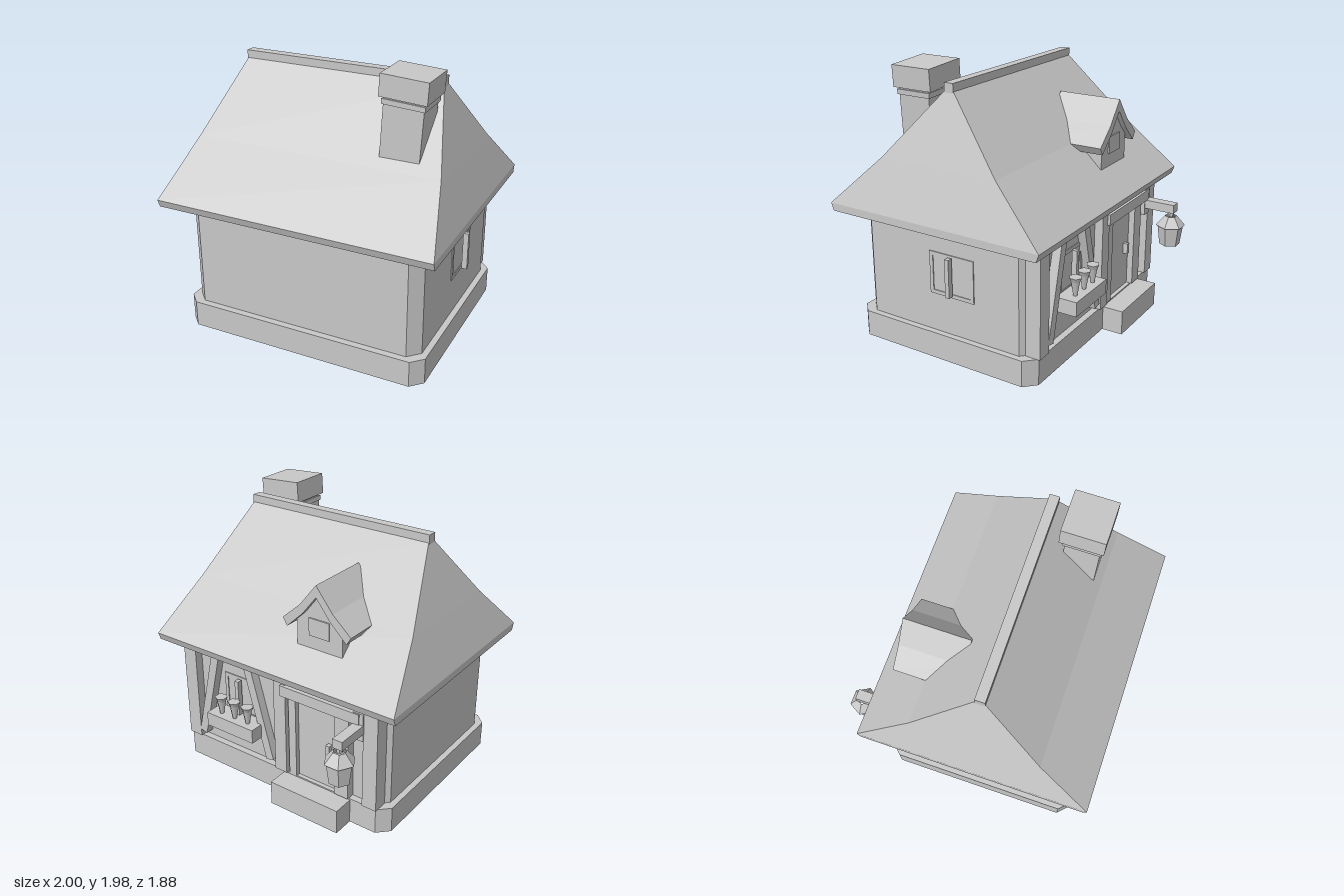
import * as THREE from 'three';

const stone = new THREE.MeshStandardMaterial({ color: 0xc8c8c8, side: THREE.DoubleSide });
stone.name = 'plain grey';
const CZ = 0.105; // depth centre of house and roof

// block without an underside
function openBlock(w, h, d) {
  const g = new THREE.BoxGeometry(w, h, d);
  const index = Array.from(g.index.array);
  index.splice(18, 6);
  g.setIndex(index);
  g.clearGroups();
  return g;
}

// horizontal outlines, anticlockwise from above
const rect = (y, x, z) => [[-x, y, z], [x, y, z], [x, y, -z], [-x, y, -z]];
const chamfered = (y, x, z, c = 0.08) => [
  [c - x, y, z], [x - c, y, z], [x, y, z - c], [x, y, c - z],
  [x - c, y, -z], [c - x, y, -z], [-x, y, c - z], [-x, y, z - c],
];

// outlines joined into flat faces, optionally closed at bottom and top
function loft(rings, closed) {
  const pos = [];
  const n = rings[0].length;
  for (let i = 0; i < rings.length - 1; i++)
    for (let k = 0; k < n; k++) {
      const m = (k + 1) % n, a = rings[i], b = rings[i + 1];
      pos.push(...a[k], ...a[m], ...b[m], ...a[k], ...b[m], ...b[k]);
    }
  if (closed)
    for (const cap of [rings[0].slice().reverse(), rings[rings.length - 1]])
      for (let k = 1; k < n - 1; k++) pos.push(...cap[0], ...cap[k], ...cap[k + 1]);
  const g = new THREE.BufferGeometry();
  g.setAttribute('position', new THREE.Float32BufferAttribute(pos, 3));
  g.translate(0, 0, CZ);
  g.computeVertexNormals();
  return g;
}

export function createModel() {
  const house = new THREE.Group();
  house.name = 'cottage';

  const add = (name, geo, parent = house) => {
    const m = new THREE.Mesh(geo, stone);
    m.name = name;
    parent.add(m);
    return m;
  };
  // block given by its limits on each axis
  const box = (name, x0, x1, y0, y1, z0, z1, parent = house) =>
    add(name, openBlock(x1 - x0, y1 - y0, z1 - z0), parent)
      .position.set((x0 + x1) / 2, (y0 + y1) / 2, (z0 + z1) / 2);
  // beam between two points of the back wall
  const beam = (name, xa, ya, xb, yb, w, z0, z1) => {
    const dx = xb - xa, dy = yb - ya;
    const m = add(name, openBlock(w, Math.hypot(dx, dy), z1 - z0));
    m.position.set((xa + xb) / 2, (ya + yb) / 2, (z0 + z1) / 2);
    m.rotation.z = -Math.atan2(dx, dy);
  };

  // body: hollow foundation ring, walls with a raised floor, roof
  add('foundation', loft([chamfered(0, 0.905, 0.73), chamfered(0.19, 0.905, 0.73), chamfered(0.19, 0.86, 0.68)], false));
  add('walls', loft([chamfered(0.17, 0.862, 0.682), chamfered(0.97, 0.862, 0.682)], true));
  add('roof', loft([rect(0.95, 1, 0.812), rect(1.005, 1, 0.832), rect(1.365, 0.885, 0.45), rect(1.83, 0.73, 0.035)], true));
  box('roofRidge', -0.735, 0.735, 1.82, 1.885, 0.07, 0.14);

  // chimney, leaning slightly
  const chimney = new THREE.Group();
  chimney.name = 'chimney';
  chimney.position.set(0.58, 1.4, 0.38);
  chimney.rotation.z = -0.06;
  house.add(chimney);
  box('chimneyStack', -0.137, 0.137, -0.15, 0.43, -0.118, 0.122, chimney);
  box('chimneyCollar', -0.147, 0.147, 0.375, 0.41, -0.13, 0.132, chimney);
  box('chimneyCap', -0.162, 0.162, 0.425, 0.574, -0.155, 0.148, chimney);

  // dormer on the back slope: gabled wall, curved roof, window plate
  const profile = (points, z0, z1) => {
    const s = new THREE.Shape(points.map(p => new THREE.Vector2(...p)));
    const g = new THREE.ExtrudeGeometry(s, { depth: z1 - z0, bevelEnabled: false });
    g.translate(-0.31, 0, z0);
    return g;
  };
  add('dormerWall', profile([[-0.18, 1.15], [0.18, 1.15], [0.18, 1.39], [0, 1.6], [-0.18, 1.39]], -0.54, -0.15));
  add('dormerRoof', profile([
    [0.235, 1.31], [0.27, 1.365], [0.13, 1.49], [0, 1.655],
    [-0.13, 1.49], [-0.27, 1.365], [-0.235, 1.31], [-0.11, 1.43], [0, 1.57], [0.11, 1.43],
  ], -0.577, -0.105));
  box('dormerWindow', -0.39, -0.23, 1.275, 1.4, -0.549, -0.53);

  // window frame with a pane and a centre bar, facing outward on local +z
  const windowUnit = (name, w, h) => {
    const g = new THREE.Group();
    g.name = name;
    const a = w / 2, b = h / 2, t = 0.027;
    for (const s of [-1, 1]) {
      const x = s * (a - t / 2), y = s * (b - t / 2);
      box('frameSide', x - t / 2, x + t / 2, -b, b, -0.01, 0.007, g);
      box('frameRail', t - a, a - t, y - t / 2, y + t / 2, -0.01, 0.007, g);
    }
    box('pane', t - a, a - t, t - b, b - t, -0.01, 0.001, g);
    box('centreBar', -0.016, 0.016, 0.02 - b, b - 0.01, 0.02, 0.058, g);
    house.add(g);
    return g;
  };
  const side = windowUnit('sideWindow', 0.355, 0.305);
  side.position.set(0.862, 0.62, 0.025);
  side.rotation.y = Math.PI / 2;
  const back = windowUnit('backWindow', 0.3, 0.3);
  back.position.set(0.35, 0.635, -0.577);
  back.rotation.y = Math.PI;

  // timber framing on the back
  for (const s of [-1, 1]) box('cornerPost', s * 0.78 - 0.055, s * 0.78 + 0.055, 0.19, 0.95, -0.64, -0.53);
  box('middlePost', -0.09, 0.01, 0.19, 0.95, -0.64, -0.55);
  beam('brace', 0.7, 0.24, 0.53, 0.95, 0.065, -0.64, -0.57);
  beam('brace', 0.06, 0.24, 0.25, 0.95, 0.065, -0.64, -0.57);

  // flower box with three flared plants
  box('flowerBox', 0.13, 0.55, 0.4, 0.505, -0.74, -0.57);
  for (const x of [0.22, 0.34, 0.46]) {
    add('plantStem', new THREE.CylinderGeometry(0.034, 0.014, 0.11, 6)).position.set(x, 0.555, -0.68);
    add('plantTop', new THREE.CylinderGeometry(0.046, 0.034, 0.03, 6)).position.set(x, 0.623, -0.68);
  }

  // door, surround and step
  box('door', -0.5, -0.17, 0.19, 0.84, -0.595, -0.55);
  box('doorPost', -0.17, -0.11, 0.19, 0.84, -0.63, -0.55);
  box('doorPost', -0.61, -0.5, 0.19, 0.84, -0.64, -0.55);
  box('lintel', -0.7, -0.06, 0.815, 0.895, -0.66, -0.55);
  box('doorHandle', -0.45, -0.42, 0.46, 0.54, -0.63, -0.59);
  box('doorStep', -0.62, -0.06, 0, 0.18, -0.78, -0.62);

  // hanging lantern
  box('lanternMount', -0.73, -0.65, 0.7, 0.9, -0.65, -0.55);
  box('lanternArm', -0.73, -0.655, 0.755, 0.82, -0.88, -0.62);
  const lantern = new THREE.Group();
  lantern.name = 'lantern';
  lantern.position.set(-0.69, 0, -0.848);
  house.add(lantern);
  const hex = (name, rt, rb, y0, y1) => {
    const g = new THREE.CylinderGeometry(rt, rb, y1 - y0, 6, 1, true).toNonIndexed();
    g.rotateY(Math.PI / 6);
    g.computeVertexNormals();
    add(name, g, lantern).position.y = (y0 + y1) / 2;
  };
  hex('lanternHook', 0.022, 0.022, 0.72, 0.77);
  hex('lanternCap', 0.045, 0.108, 0.65, 0.725);
  hex('lanternGlass', 0.095, 0.075, 0.5, 0.65);

  return house;
}
